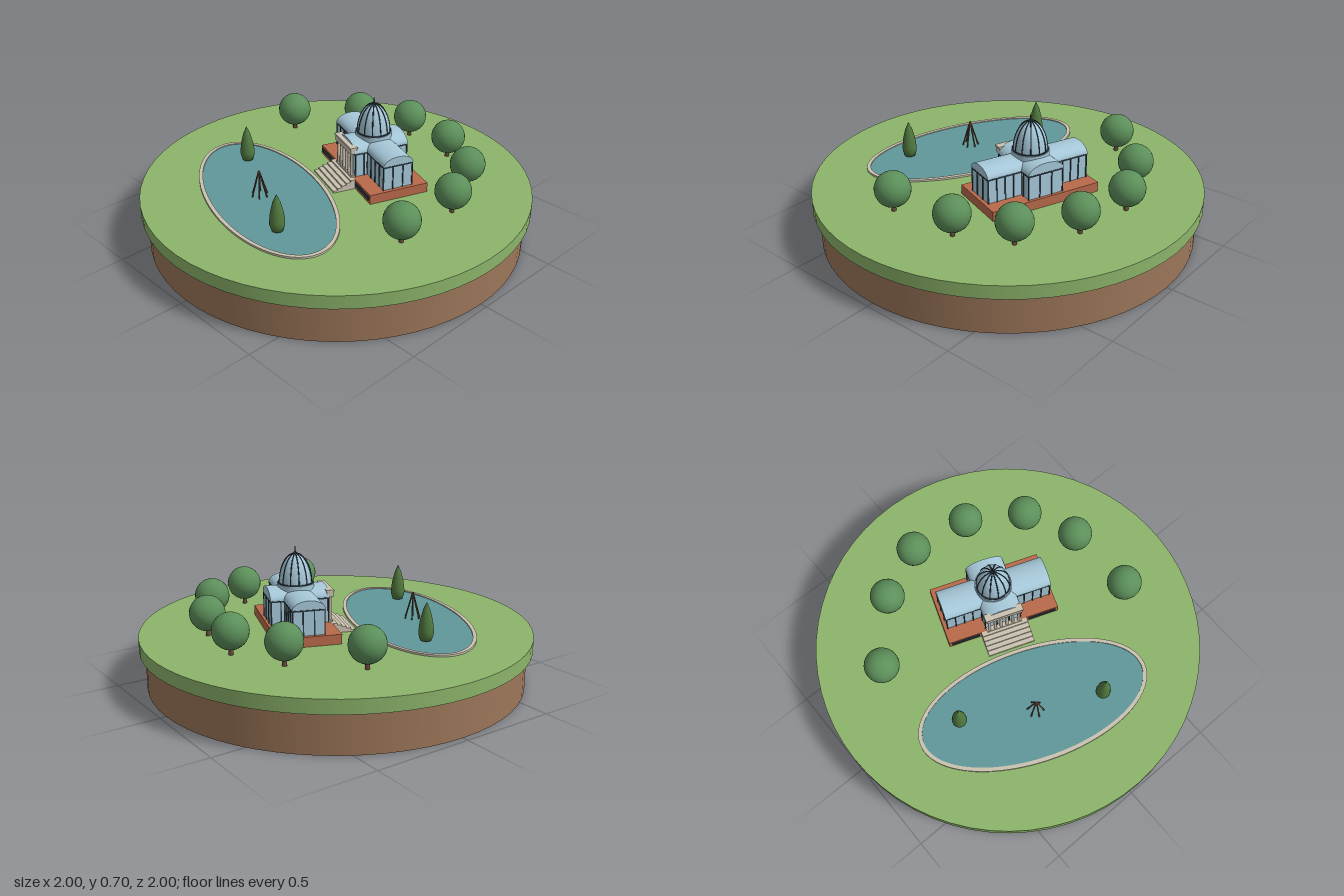
import * as THREE from 'three';

const mat = (name, color, extra = {}) => new THREE.MeshStandardMaterial({ name, color, ...extra });

export function createModel() {
  const grass = mat('grass', 0x8cb46a), soil = mat('soil', 0x9c7659), water = mat('water', 0x5f9799);
  const stone = mat('stone', 0xcbc2b0), brick = mat('brick', 0xb8694a), leaf = mat('leaf', 0x5c8f5a);
  const cypressGreen = mat('cypress green', 0x51793f), wood = mat('wood', 0x6b4c3a);
  const glass = mat('glass', 0xa6c8d9), frame = mat('dark frame', 0x2b3a44);

  const model = new THREE.Group();
  model.name = 'islandConservatory';
  const add = (parent, name, geometry, material, x = 0, y = 0, z = 0) => {
    const mesh = new THREE.Mesh(geometry, material);
    mesh.name = name;
    mesh.position.set(x, y, z);
    parent.add(mesh);
    return mesh;
  };
  const group = (parent, name, x, y, z, turn = 0) => {
    const g = new THREE.Group();
    g.name = name;
    g.position.set(x, y, z);
    g.rotation.y = turn;
    parent.add(g);
    return g;
  };
  const box = (parent, name, material, w, h, d, x, y, z) =>
    add(parent, name, new THREE.BoxGeometry(w, h, d), material, x, y, z);
  const turn = -20 * Math.PI / 180;
  const ground = 0.27;

  // Round island
  add(model, 'soilBase', new THREE.CylinderGeometry(0.97, 0.97, 0.2, 64), soil, 0, 0.1, 0);
  add(model, 'lawn', new THREE.CylinderGeometry(1, 1, 0.07, 64), grass, 0, 0.235, 0);

  // Oval pond with a stone rim
  const pond = group(model, 'pond', -0.13, ground, 0.36, turn);
  const oval = (a, b) => new THREE.Shape().absellipse(0, 0, a, b, 0, Math.PI * 2);
  const rim = oval(0.61, 0.3);
  rim.holes.push(oval(0.59, 0.28));
  const flat = (shape, depth) =>
    new THREE.ExtrudeGeometry(shape, { depth, bevelEnabled: false, curveSegments: 40 }).rotateX(-Math.PI / 2);
  add(pond, 'pondRim', flat(rim, 0.01), stone);
  add(pond, 'pondWater', flat(oval(0.592, 0.282), 0.005), water);

  // Cone of leaning poles in the pond
  const sculpture = group(model, 'poleSculpture', -0.145, ground, 0.39, 0.3);
  for (let i = 0; i < 6; i++) {
    const a = i * Math.PI / 3;
    const path = new THREE.LineCurve3(
      new THREE.Vector3(Math.cos(a) * 0.042, 0.005, Math.sin(a) * 0.042),
      new THREE.Vector3(0, 0.145, 0));
    add(sculpture, 'pole', new THREE.TubeGeometry(path, 1, 0.004, 6), wood);
  }

  // Conservatory
  const hall = group(model, 'conservatory', 0.07, ground, -0.2, turn);
  const floor = 0.05, eave = 0.18;
  box(hall, 'terrace', brick, 0.6, floor, 0.32, 0, floor / 2, 0);
  for (const s of [-1, 1]) box(hall, 'terraceWindow', frame, 0.15, 0.022, 0.006, s * 0.21, 0.028, 0.161);

  // Entrance stairs
  for (let i = 0; i < 5; i++) {
    const h = floor * (5 - i) / 5;
    box(hall, 'step', stone, 0.25, h, 0.024, 0, h / 2, 0.172 + i * 0.024);
  }

  // Vaulted hall running along z: walls, barrel roof, eaves and mullions
  const vault = (name, half, length, rise, angle) => {
    const g = group(hall, name, 0, 0, 0, angle);
    const wallHeight = eave - floor;
    box(g, 'glassWalls', glass, half * 2, wallHeight, length, 0, floor + wallHeight / 2, 0);
    const arch = new THREE.Shape();
    arch.absellipse(0, 0, half + 0.004, rise, 0, Math.PI);
    arch.closePath();
    const roof = new THREE.ExtrudeGeometry(arch, { depth: length + 0.008, bevelEnabled: false, curveSegments: 16 });
    add(g, 'barrelRoof', roof, glass, 0, eave, -length / 2 - 0.004);
    const count = Math.round(length / 0.045);
    for (const s of [-1, 1]) {
      box(g, 'eave', frame, 0.006, 0.007, length, s * (half + 0.002), eave - 0.004, 0);
      box(g, 'endBeam', frame, half * 2, 0.007, 0.006, 0, eave - 0.004, s * (length / 2 + 0.002));
      for (let i = 0; i <= count; i++)
        box(g, 'mullion', frame, 0.006, wallHeight, 0.006, s * (half + 0.001), floor + wallHeight / 2,
          (i / count - 0.5) * length);
      for (const x of [-0.35, 0.35])
        box(g, 'endMullion', frame, 0.006, wallHeight, 0.006, x * half, floor + wallHeight / 2,
          s * (length / 2 + 0.001));
    }
  };
  vault('longWings', 0.078, 0.56, 0.045, Math.PI / 2);
  vault('crossWing', 0.095, 0.29, 0.05, 0);

  // Portico with six columns
  const portico = group(hall, 'portico', 0, 0, 0);
  box(portico, 'porticoBase', stone, 0.19, 0.008, 0.03, 0, floor + 0.004, 0.155);
  box(portico, 'entablature', stone, 0.19, 0.03, 0.034, 0, 0.195, 0.155);
  box(portico, 'cornice', stone, 0.2, 0.008, 0.04, 0, 0.213, 0.155);
  for (let i = 0; i < 6; i++)
    add(portico, 'column', new THREE.CylinderGeometry(0.007, 0.008, 0.125, 12), stone,
      -0.08 + i * 0.032, 0.12, 0.16);

  // Ribbed dome on a drum
  const dome = group(hall, 'dome', 0, 0.238, 0);
  const radius = 0.084, height = 0.155;
  add(dome, 'drum', new THREE.CylinderGeometry(0.094, 0.094, 0.06, 32), glass, 0, -0.025, 0);
  add(dome, 'domeRing', new THREE.CylinderGeometry(0.09, 0.09, 0.008, 32), frame, 0, 0.006, 0);
  const shell = new THREE.SphereGeometry(1, 32, 12, 0, Math.PI * 2, 0, Math.PI / 2).scale(radius, height, radius);
  add(dome, 'domeGlass', shell, glass);
  const ribPoints = [];
  for (let i = 0; i <= 8; i++) {
    const a = i * Math.PI / 16;
    ribPoints.push(new THREE.Vector3(Math.cos(a) * radius, Math.sin(a) * height, 0));
  }
  const rib = new THREE.TubeGeometry(new THREE.CatmullRomCurve3(ribPoints), 16, 0.003, 6);
  for (let i = 0; i < 12; i++) add(dome, 'domeRib', rib, frame).rotation.y = i * Math.PI / 6;
  add(dome, 'finialBase', new THREE.CylinderGeometry(0.008, 0.012, 0.012, 12), frame, 0, height, 0);
  add(dome, 'finial', new THREE.CylinderGeometry(0.002, 0.004, 0.03, 8), frame, 0, height + 0.02, 0);

  // Round trees around the back
  const crown = new THREE.SphereGeometry(0.09, 24, 16);
  const trunk = new THREE.CylinderGeometry(0.009, 0.012, 0.06, 10);
  for (const [x, z] of [[-0.61, -0.26], [-0.36, -0.54], [-0.09, -0.665], [0.225, -0.62],
    [0.495, -0.45], [0.62, -0.185], [0.63, 0.19]]) {
    const tree = group(model, 'roundTree', x, ground, z);
    add(tree, 'trunk', trunk, wood, 0, 0.03, 0);
    add(tree, 'crown', crown, leaf, 0, 0.117, 0);
  }

  // Slender cypresses in the pond
  const outline = [[0, 0.01], [0.028, 0.012], [0.037, 0.04], [0.038, 0.06], [0.032, 0.11], [0.018, 0.165], [0, 0.205]];
  const cone = new THREE.LatheGeometry(outline.map(([r, y]) => new THREE.Vector2(r, y)), 20);
  for (const [x, z] of [[-0.48, 0.195], [0.17, 0.545]]) {
    const cypress = group(model, 'cypress', x, ground, z);
    add(cypress, 'cypressTrunk', new THREE.CylinderGeometry(0.01, 0.01, 0.02, 8), wood, 0, 0.01, 0);
    add(cypress, 'cypressCrown', cone, cypressGreen);
  }
  return model;
}
